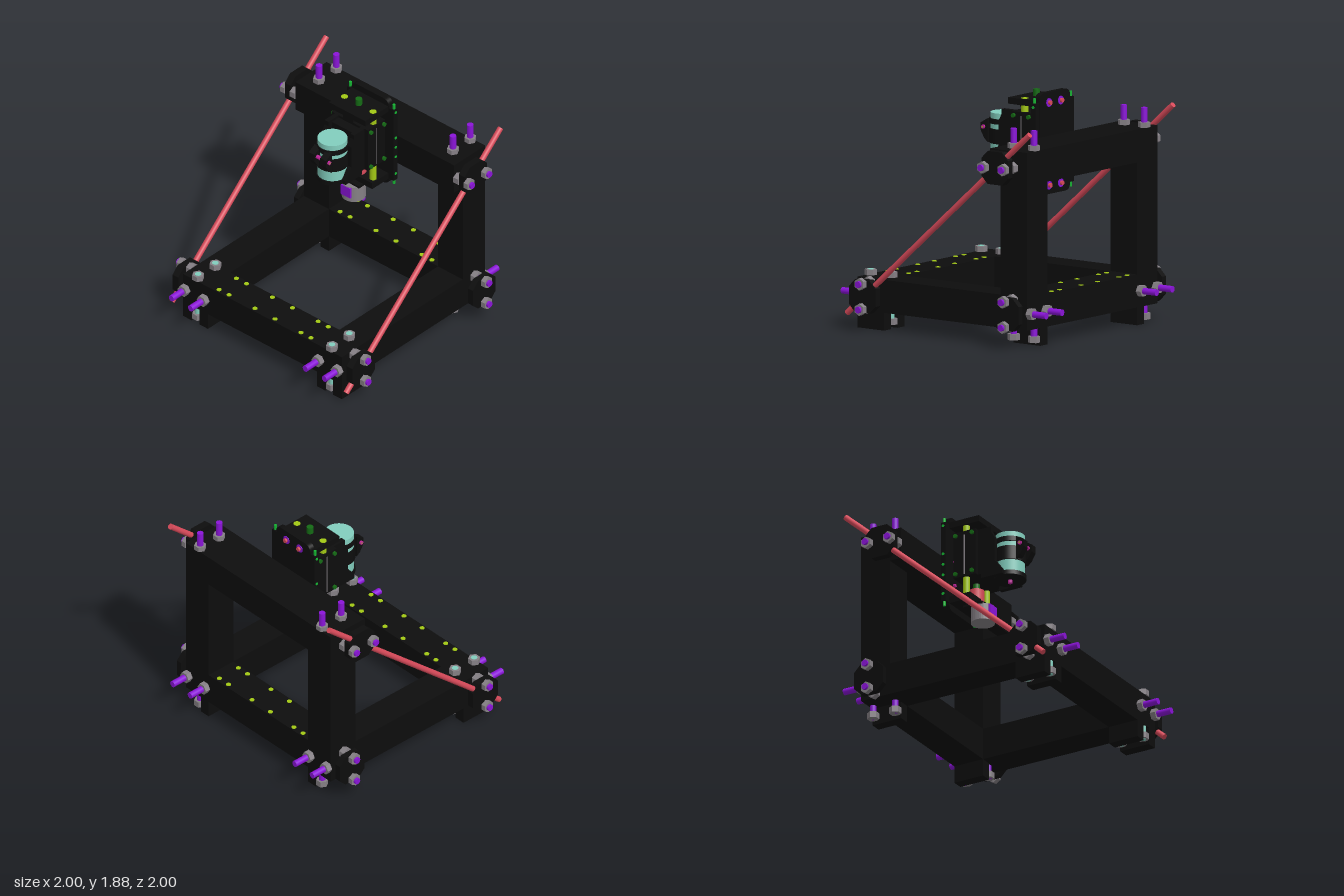
import * as THREE from 'three';

const mat = (name, color) => Object.assign(new THREE.MeshStandardMaterial({ color }), { name });
const black = mat('black frame', 0x0d0d0d);
const purple = mat('purple bolt', 0x8a14d8);
const gray = mat('gray nut', 0x858085);
const red = mat('red brace', 0xd84a5a);
const teal = mat('teal', 0x82cebe);
const lime = mat('lime rod', 0xa2c814);
const green = mat('dark green', 0x146a14);
const bright = mat('bright green', 0x14b432);
const pink = mat('magenta', 0xc0269c);

export function createModel() {
  const root = new THREE.Group();
  const add = (name, geo, m, parent = root) => {
    const mesh = new THREE.Mesh(geo, m);
    mesh.name = name;
    parent.add(mesh);
    return mesh;
  };
  // box given by its limits on each axis
  const box = (name, m, x0, x1, y0, y1, z0, z1) => {
    const b = add(name, new THREE.BoxGeometry(x1 - x0, y1 - y0, z1 - z0), m);
    b.position.set((x0 + x1) / 2, (y0 + y1) / 2, (z0 + z1) / 2);
    return b;
  };
  // cylinder between two points
  const bar = (name, m, a, b, r, sides = 16) => {
    const p = new THREE.Vector3(...a), q = new THREE.Vector3(...b);
    const d = q.clone().sub(p);
    const c = add(name, new THREE.CylinderGeometry(r, r, d.length(), sides), m);
    c.position.copy(p).add(q).multiplyScalar(0.5);
    c.quaternion.setFromUnitVectors(new THREE.Vector3(0, 1, 0), d.normalize());
    return c;
  };
  // hexagonal nut along an axis (0 x, 1 y, 2 z)
  const nut = (p, axis, from, to) => {
    const a = [...p], b = [...p];
    a[axis] = from;
    b[axis] = to;
    const n = bar('nut', gray, a, b, 0.048, 6);
    n.material.flatShading = true;
  };
  // polygon in the xy plane, extruded over z0..z1
  const prism = (name, m, pts, z0, z1) => {
    const s = new THREE.Shape(pts.map(([x, y]) => new THREE.Vector2(x, y)));
    const g = new THREE.ExtrudeGeometry(s, { depth: z1 - z0, bevelEnabled: false });
    g.translate(0, 0, z0);
    return add(name, g, m);
  };
  const octagon = (x0, x1, y0, y1, c) => [[x0 + c, y0], [x1 - c, y0], [x1, y0 + c], [x1, y1 - c],
    [x1 - c, y1], [x0 + c, y1], [x0, y1 - c], [x0, y0 + c]];

  // base beams, top beam
  box('leftBeam', black, -0.83, -0.57, 0.14, 0.4, -0.83, 0.83);
  box('rightBeam', black, 0.57, 0.83, 0.14, 0.4, -0.83, 0.83);
  box('topBeam', black, 0.47, 0.83, 1.28, 1.54, -0.83, 0.83);

  for (const s of [1, -1]) {
    const side = (a, b) => (s > 0 ? [a, b] : [-b, -a]);
    box('sideBeam', black, -0.57, 0.57, 0.14, 0.4, ...side(0.57, 0.83));
    box('post', black, 0.57, 0.83, 0.4, 1.28, ...side(0.57, 0.83));
    box('footInnerWall', black, -0.83, -0.57, 0, 0.14, ...side(0.57, 0.66));
    box('footOuterWall', black, -0.83, -0.57, 0, 0.14, ...side(0.74, 0.83));
    box('postFootWall', black, 0.57, 0.83, 0, 0.14, ...side(0.57, 0.66));

    // diagonal brace and its clamps
    bar('brace', red, [-0.87, 0.12, s * 0.91], [0.92, 1.7, s * 0.91], 0.023, 20);
    prism('braceClampTop', black, octagon(0.47, 0.73, 1.28, 1.54, 0.06), ...side(0.88, 0.94));
    prism('braceClampBottom', black, octagon(-0.83, -0.57, 0.14, 0.4, 0.06), ...side(0.88, 0.94));
    prism('postClamp', black, octagon(0.57, 0.83, 0.14, 0.4, 0.06), ...side(0.885, 0.935));

    // vertical bolts
    for (const x of [0.6, 0.8]) {
      bar('postBolt', purple, [x, 0.03, s * 0.7], [x, 1.695, s * 0.7], 0.026);
      nut([x, 0, s * 0.7], 1, 0.03, 0.08);
      nut([x, 0, s * 0.7], 1, 1.54, 1.58);
      bar('footBolt', teal, [-x, 0.028, s * 0.7], [-x, 0.447, s * 0.7], 0.026);
      nut([-x, 0, s * 0.7], 1, 0.03, 0.08);
      nut([-x, 0, s * 0.7], 1, 0.4, 0.445);
      // lengthwise bolts
      bar('lengthBolt', purple, [-1, 0.27, s * x], [1, 0.27, s * x], 0.026);
      nut([0, 0.27, s * x], 0, 0.83, 0.875);
      nut([0, 0.27, s * x], 0, -0.875, -0.83);
    }
    // crosswise bolts
    for (const [x, y] of [[-0.7, 0.17], [-0.7, 0.37], [0.7, 0.17], [0.7, 0.37], [0.5, 1.41], [0.7, 1.41]]) {
      bar('crossBolt', purple, [x, y, s * 0.8], [x, y, s], 0.026);
      nut([x, y, 0], 2, s * 0.83, s * 0.88);
      nut([x, y, 0], 2, s * 0.94, s * 0.98);
    }
    // screw caps on the base beams
    for (const z of [0.105, 0.375, 0.48])
      for (const x of [-0.8, -0.6, 0.6, 0.8])
        bar('beamScrew', lime, [x, 0.39, s * z], [x, 0.405, s * z], 0.02, 12);
  }

  // rounded back plate of the tool carriage
  const plate = new THREE.Shape();
  const w = 0.195, y0 = 1.08, y1 = 1.88, r = 0.06;
  plate.moveTo(-w + r, y0).lineTo(w - r, y0);
  plate.quadraticCurveTo(w, y0, w, y0 + r).lineTo(w, y1 - r);
  plate.quadraticCurveTo(w, y1, w - r, y1).lineTo(-w + r, y1);
  plate.quadraticCurveTo(-w, y1, -w, y1 - r).lineTo(-w, y0 + r);
  plate.quadraticCurveTo(-w, y0, -w + r, y0);
  const plateGeo = new THREE.ExtrudeGeometry(plate, { depth: 0.045, bevelEnabled: false });
  plateGeo.rotateY(Math.PI / 2).translate(0.417, 0, 0);
  add('backPlate', plateGeo, black);
  box('backPlateWings', black, 0.418, 0.461, 1.14, 1.81, -0.245, 0.245);
  for (const z of [-0.075, 0.075])
    for (const y of [1.15, 1.8]) {
      bar('plateWasher', purple, [0.44, y, z], [0.468, y, z], 0.034);
      bar('plateScrew', red, [0.44, y, z], [0.486, y, z], 0.018);
    }
  for (const s of [-1, 1]) {
    for (const y of [1.12, 1.83]) bar('cornerStud', bright, [0.44, y - 0.02, s * 0.228], [0.44, y + 0.02, s * 0.228], 0.012, 10);
    for (const y of [1.2, 1.36, 1.45, 1.54, 1.78])
      bar('edgeScrew', bright, [0.44, y, s * 0.24], [0.44, y, s * 0.249], 0.012, 10);
  }

  // brackets, guide rods, lead screw, drive motor
  box('topBracket', black, 0.15, 0.42, 1.775, 1.825, -0.19, 0.19);
  box('topBracketStop', black, 0.16, 0.2, 1.735, 1.775, -0.05, 0.05);
  box('bottomBracket', black, 0.23, 0.42, 1.135, 1.19, -0.19, 0.19);
  box('motorFlange', black, 0.18, 0.35, 1.12, 1.14, -0.095, 0.095);
  for (const z of [-0.15, 0.15]) bar('guideRod', lime, [0.285, 1.15, z], [0.285, 1.829, z], 0.028, 20);
  bar('leadScrew', green, [0.285, 1.15, 0], [0.285, 1.88, 0], 0.027);
  bar('coupler', red, [0.285, 1.16, 0], [0.285, 1.28, 0], 0.06, 24);
  bar('driveMotor', gray, [0.227, 0.99, 0], [0.227, 1.125, 0], 0.094, 32);
  box('motorConnector', purple, 0.13, 0.17, 1.03, 1.12, -0.05, 0.05);

  // sliding carriage block
  box('carriageBlock', black, 0.18, 0.38, 1.335, 1.72, -0.19, 0.19);
  for (const s of [-1, 1]) {
    box('carriageSlit', gray, 0.277, 0.285, 1.35, 1.69, s * 0.191 - 0.002, s * 0.191 + 0.002);
    for (const x of [0.208, 0.358])
      for (const y of [1.365, 1.69]) bar('carriageScrew', green, [x, y, s * 0.18], [x, y, s * 0.208], 0.017, 12);
    for (const y of [1.31, 1.51]) bar('plateStud', pink, [0.4, y, s * 0.12], [0.42, y, s * 0.12], 0.014, 10);
    // side cheeks of the tool holder
    prism('holderCheek', black, [[-0.14, 1.3], [0.15, 1.3], [0.15, 1.335], [0.2, 1.335], [0.2, 1.72],
      [0.06, 1.72], [0.06, 1.68], [0.03, 1.62], [0.03, 1.43], [-0.05, 1.335], [-0.14, 1.335]].map(([x, y]) => [Math.max(x, -0.04), y]),
    s > 0 ? 0.115 : -0.155, s > 0 ? 0.155 : -0.115);
    // clamp ears
    prism('clampEar', black, [[-0.125, 1.43], [-0.16, 1.46], [-0.195, 1.52], [-0.195, 1.58], [-0.125, 1.62]],
      s > 0 ? 0.03 : -0.09, s > 0 ? 0.09 : -0.03);
  }
  box('holderBack', black, 0.1, 0.2, 1.335, 1.7, -0.12, 0.12);
  bar('clampBolt', pink, [-0.165, 1.55, -0.105], [-0.165, 1.55, 0.105], 0.016, 12);
  bar('clampBoltTip', lime, [-0.165, 1.55, -0.107], [-0.165, 1.55, 0.107], 0.007, 8);

  // spindle, clamp rings and base ring
  bar('spindle', teal, [-0.02, 1.32, 0], [-0.02, 1.67, 0], 0.117, 40);
  for (const [a, b] of [[1.43, 1.545], [1.585, 1.625], [1.3, 1.335]])
    bar('clampRing', black, [-0.02, a, 0], [-0.02, b, 0], 0.127, 40);
  bar('spindleTip', pink, [-0.02, 1.275, 0], [-0.02, 1.31, 0], 0.018, 12);

  return root;
}
